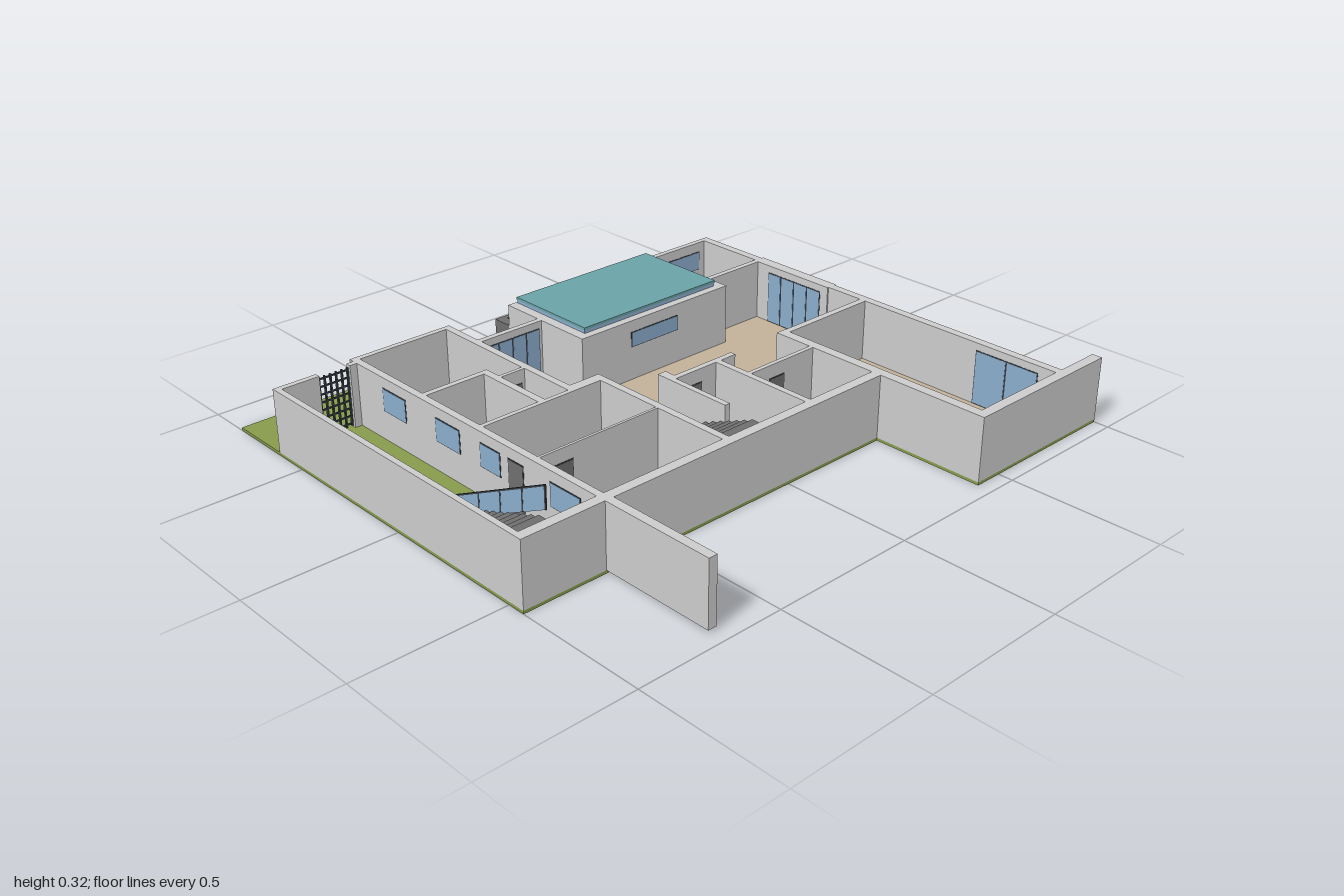
import * as THREE from 'three';

const mat = (color) => new THREE.MeshStandardMaterial({ color });
const BASE = 0.01, TOP = 0.225;

export function createModel() {
  const model = new THREE.Group();
  const wallMat = mat(0xcccccc), grass = mat(0x869b4b), tan = mat(0xc2b19a), glass = mat(0x8aaccc);
  const dark = mat(0x6e6e6e), frameMat = mat(0x3c4248), water = mat(0x6aa3a6), brick = mat(0xb79a8c);

  const group = (name) => {
    const g = new THREE.Group();
    g.name = name;
    model.add(g);
    return g;
  };
  // Box given by its extents on each axis
  const box = (parent, name, m, x0, x1, y0, y1, z0, z1) => {
    const mesh = new THREE.Mesh(new THREE.BoxGeometry(x1 - x0, y1 - y0, z1 - z0), m);
    mesh.position.set((x0 + x1) / 2, (y0 + y1) / 2, (z0 + z1) / 2);
    mesh.name = name;
    parent.add(mesh);
    return mesh;
  };

  // L-shaped lawn
  const lawn = group('lawn');
  box(lawn, 'lawnMain', grass, -1, 1, 0, BASE, -0.85, 0.56);
  box(lawn, 'lawnFront', grass, 0.4, 1, 0, BASE, 0.56, 0.95);

  // Floors
  const floors = group('floors');
  [
    [-0.7, -0.335, -0.63, 0.53], [-0.335, 0.545, -0.48, 0.53],
    [0.545, 0.82, -0.49, 0.53], [0.42, 0.82, 0.53, 0.93],
  ].forEach(([x0, x1, z0, z1]) => box(floors, 'floor', tan, x0, x1, BASE, 0.013, z0, z1));
  box(floors, 'porchFloor', brick, -0.335, -0.09, BASE, 0.014, -0.65, -0.48);

  // Walls: x0, x1, z0, z1
  const outer = group('outerWalls');
  [
    [-1, -0.98, -0.625, 0.56], [-1, -0.85, -0.625, -0.605], [-0.74, -0.7, -0.625, -0.605],
    [-1, 0.42, 0.525, 0.56], [-0.715, -0.685, 0.56, 0.95], [0.4, 1, 0.915, 0.95],
    [0.4, 0.435, 0.125, 0.95], [0.805, 0.835, -0.645, 0.95], [0.8, 0.842, -0.36, -0.015],
    [-0.715, -0.69, -0.645, 0.53], [-0.715, -0.335, -0.645, -0.625], [-0.36, -0.335, -0.645, -0.01],
    [-0.335, -0.09, -0.49, -0.47], [-0.09, 0.835, -0.645, -0.625],
  ].forEach(([x0, x1, z0, z1]) => box(outer, 'outerWall', wallMat, x0, x1, BASE, TOP, z0, z1));

  const inner = group('innerWalls');
  [
    [-0.69, -0.45, -0.295, -0.275], [-0.475, -0.45, -0.295, 0], [-0.45, -0.335, -0.235, -0.222],
    [-0.69, -0.22, -0.014, 0.002], [-0.355, -0.22, -0.036, 0], [-0.245, -0.22, -0.036, 0.525],
    [-0.69, -0.245, 0.248, 0.257], [-0.09, -0.07, 0.09, 0.38], [-0.09, -0.058, 0.09, 0.15],
    [-0.07, 0.185, 0.13, 0.15], [0.1, 0.122, 0.13, 0.525], [0.122, 0.4, 0.267, 0.282],
    [0.4, 0.81, 0.127, 0.15], [0.56, 0.81, -0.365, -0.345],
  ].forEach(([x0, x1, z0, z1]) => box(inner, 'innerWall', wallMat, x0, x1, BASE, TOP, z0, z1));

  // Pool tank with water above the walls
  const pool = group('pool');
  [
    [-0.09, -0.055, -0.645, -0.265], [0.53, 0.56, -0.645, -0.265], [-0.09, 0.56, -0.295, -0.265],
  ].forEach(([x0, x1, z0, z1]) => box(pool, 'tankWall', wallMat, x0, x1, BASE, TOP, z0, z1));
  box(pool, 'poolSides', glass, -0.055, 0.527, 0.2, 0.237, -0.638, -0.293);
  box(pool, 'poolWater', water, -0.057, 0.529, 0.237, 0.246, -0.64, -0.291);

  // Overflow trough on the back wall
  const trough = group('overflowTrough');
  box(trough, 'troughBottom', dark, -0.09, 0.56, 0.1, 0.12, -0.72, -0.645);
  box(trough, 'troughRim', dark, -0.09, 0.56, 0.12, 0.15, -0.72, -0.7);
  box(trough, 'troughEnd', dark, -0.09, -0.055, 0.12, 0.15, -0.7, -0.645);
  box(trough, 'troughEnd', dark, 0.527, 0.56, 0.12, 0.15, -0.7, -0.645);
  box(trough, 'troughWater', water, -0.055, 0.527, 0.12, 0.132, -0.7, -0.645);

  // Framed panels set in a wall; axis is the direction the wall runs along
  const opening = (name, axis, a0, a1, y0, y1, c, t, panels = 1, m = glass) => {
    const g = group(name);
    const put = (n, mm, s0, s1, b0, b1, h) => (axis === 'x'
      ? box(g, n, mm, s0, s1, b0, b1, c - h, c + h)
      : box(g, n, mm, c - h, c + h, b0, b1, s0, s1));
    put('frame', frameMat, a0, a1, y0, y1, t / 2 + 0.001);
    const w = (a1 - a0) / panels, e = 0.003;
    for (let i = 0; i < panels; i++) {
      put('panel', m, a0 + i * w + e, a0 + (i + 1) * w - e, y0 + e, y1 - e, t / 2 + 0.002);
    }
  };
  opening('garageDoor', 'z', 0.615, 0.852, 0.013, 0.2, 0.82, 0.03, 2);
  opening('terraceDoor', 'z', -0.292, -0.048, 0.013, 0.2, 0.821, 0.042, 4);
  opening('entranceDoor', 'x', -0.325, -0.1, 0.014, 0.2, -0.48, 0.02, 4);
  opening('poolWindow', 'x', 0.12, 0.33, 0.13, 0.185, -0.28, 0.03);
  opening('backWindow', 'x', 0.6, 0.78, 0.12, 0.19, -0.635, 0.02);
  [[-0.47, -0.35], [-0.2, -0.08], [-0.005 + 0.02, 0.11], [0.33, 0.46]]
    .forEach(([z0, z1]) => opening('sideWindow', 'z', z0, z1, 0.11, 0.19, -0.7025, 0.025));
  opening('sideDoor', 'z', 0.145, 0.215, 0.013, 0.19, -0.7025, 0.025, 1, dark);
  opening('roomDoor', 'x', -0.64, -0.57, 0.013, 0.18, 0.2525, 0.009, 1, dark);
  opening('roomDoor', 'x', 0.2, 0.27, 0.013, 0.18, 0.2745, 0.015, 1, dark);
  opening('roomDoor', 'x', -0.03, 0.04, 0.013, 0.18, 0.14, 0.02, 1, dark);
  opening('roomDoor', 'x', -0.44, -0.37, 0.013, 0.18, -0.2285, 0.013, 1, dark);

  // Barred garden gate
  const gate = group('gardenGate');
  for (let i = 0; i < 6; i++) {
    const x = -0.848 + i * 0.0205;
    box(gate, 'gateBar', frameMat, x, x + 0.005, 0.015, 0.215, -0.622, -0.614);
  }
  for (let i = 0; i < 8; i++) {
    const y = 0.02 + i * 0.0265;
    box(gate, 'gateRail', frameMat, -0.85, -0.74, y, y + 0.005, -0.62, -0.615);
  }

  // Stairs rising towards the front wall, as open thin steps
  const stairs = (name, x0, x1, z0, z1, n) => {
    const g = group(name), d = (z1 - z0) / n, r = (0.222 - BASE) / n;
    for (let i = 0; i < n; i++) {
      const y = BASE + (i + 1) * r;
      box(g, 'step', dark, x0, x1, Math.max(BASE, y - 0.025), y, z0 + i * d, z0 + (i + 1) * d);
    }
  };
  stairs('gardenStairs', -0.98, -0.885, -0.06, 0.525, 18);
  stairs('hallStairs', -0.22, -0.092, 0.015, 0.525, 16);

  // Sloping glass railing beside the garden stairs
  const railing = group('stairRailing');
  const slope = (z) => 0.25 - 0.49 * (0.523 - z);
  const railPanel = (name, m, z0, z1, lo, hi, t) => {
    const s = new THREE.Shape([
      new THREE.Vector2(-z0, Math.max(BASE, slope(z0) + lo)), new THREE.Vector2(-z0, slope(z0) + hi),
      new THREE.Vector2(-z1, slope(z1) + hi), new THREE.Vector2(-z1, slope(z1) + lo),
    ]);
    const mesh = new THREE.Mesh(new THREE.ExtrudeGeometry(s, { depth: t, bevelEnabled: false }), m);
    mesh.rotation.y = Math.PI / 2;
    mesh.position.x = -0.885 - t / 2;
    mesh.name = name;
    railing.add(mesh);
  };
  const z0 = 0.04, step = (0.523 - z0) / 5;
  for (let i = 0; i < 5; i++) {
    railPanel('railGlass', glass, z0 + i * step + 0.003, z0 + (i + 1) * step - 0.003, 0, 0.07, 0.003);
  }
  railPanel('handrail', frameMat, z0, 0.523, 0.07, 0.075, 0.006);
  for (let i = 0; i <= 5; i++) {
    const z = z0 + i * step;
    box(railing, 'railPost', frameMat, -0.887, -0.883, slope(z), slope(z) + 0.072, z - 0.003, z + 0.003);
  }
  return model;
}
